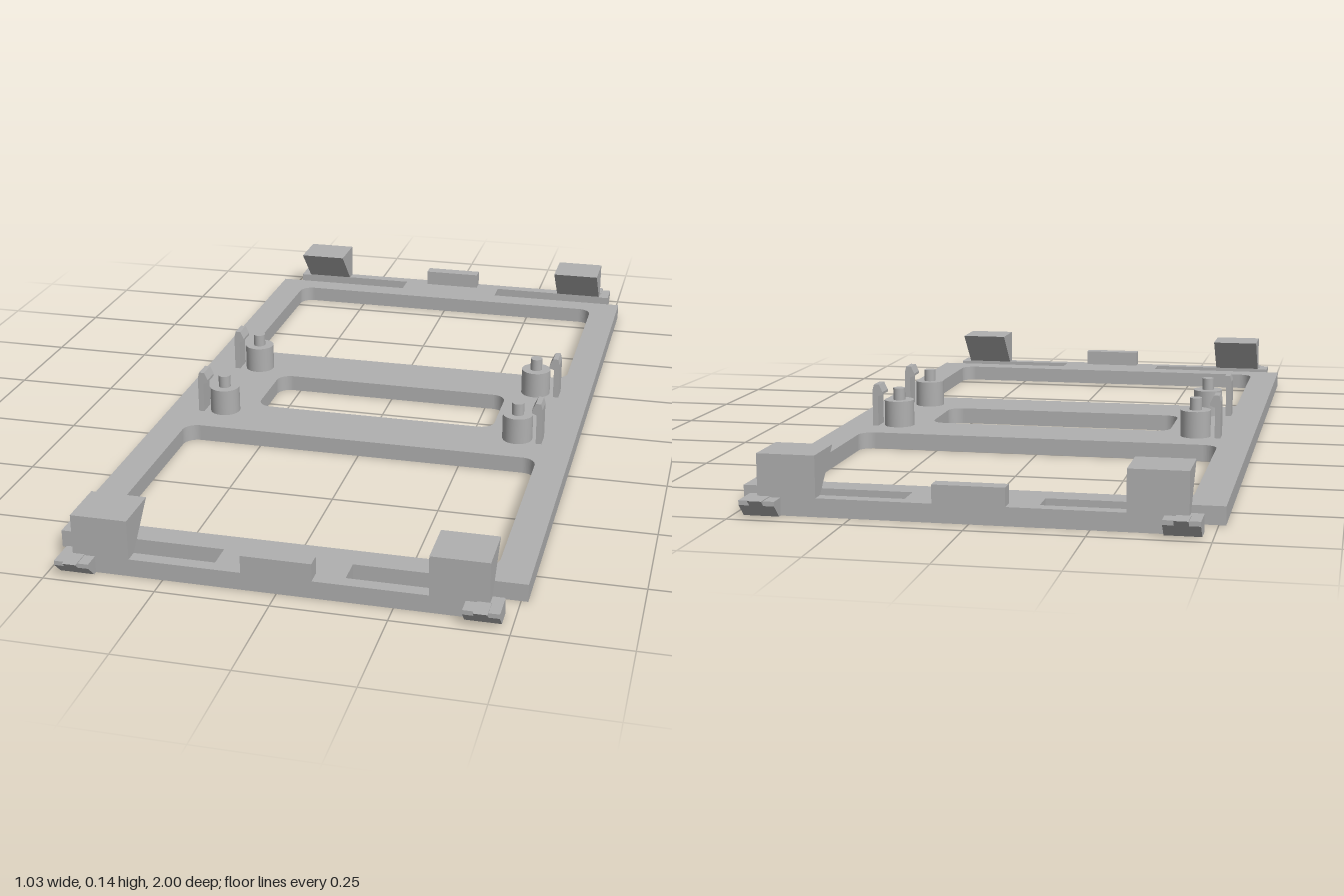
import * as THREE from 'three';

const T = 0.04; // plate thickness

// Extrude a closed outline, centred on its depth
function extrude(points, depth) {
  const shape = new THREE.Shape(points.map(([a, b]) => new THREE.Vector2(a, b)));
  return new THREE.ExtrudeGeometry(shape, { depth, bevelEnabled: false }).translate(0, 0, -depth / 2);
}

// Profile given as (z, y) and swept along x
const sweepX = (points, width) => extrude(points, width).rotateY(-Math.PI / 2);

function roundedHole(x0, x1, y0, y1, r) {
  const p = new THREE.Path();
  p.moveTo(x0 + r, y0);
  p.lineTo(x1 - r, y0);
  p.absarc(x1 - r, y0 + r, r, -Math.PI / 2, 0);
  p.lineTo(x1, y1 - r);
  p.absarc(x1 - r, y1 - r, r, 0, Math.PI / 2);
  p.lineTo(x0 + r, y1);
  p.absarc(x0 + r, y1 - r, r, Math.PI / 2, Math.PI);
  p.lineTo(x0, y0 + r);
  p.absarc(x0 + r, y0 + r, r, Math.PI, Math.PI * 1.5);
  return p;
}

export function createModel() {
  const model = new THREE.Group();
  model.name = 'mountingFrame';
  const grey = new THREE.MeshStandardMaterial({ color: 0xb0b0b0 });
  grey.name = 'grey plastic';

  const add = (parent, name, geometry, x = 0, y = 0, z = 0) => {
    const mesh = new THREE.Mesh(geometry, grey);
    mesh.name = name;
    mesh.position.set(x, y, z);
    parent.add(mesh);
    return mesh;
  };

  // Flat frame with a T-shaped end at each side whose arms are free at the tips
  const quarter = [[0.515, 0.86], [0.142, 0.86], [0.142, 0.92], [0.45, 0.92], [0.45, 0.95]];
  const flip = (sx, sy) => quarter.map(([x, y]) => [x * sx, y * sy]);
  const outline = [
    ...flip(1, 1), ...flip(-1, 1).reverse(),
    ...flip(-1, -1), ...flip(1, -1).reverse(),
  ].map(([x, y]) => new THREE.Vector2(x, y));
  const plate = new THREE.Shape(outline);
  plate.holes.push(
    roundedHole(-0.44, 0.44, 0.257, 0.8, 0.035),
    roundedHole(-0.44, 0.44, -0.8, -0.257, 0.035),
    roundedHole(-0.305, 0.305, -0.104, 0.104, 0.035),
  );
  const plateGeo = new THREE.ExtrudeGeometry(plate, { depth: T, bevelEnabled: false, curveSegments: 8 });
  add(model, 'framePlate', plateGeo.rotateX(-Math.PI / 2));

  // End details, built for the front and turned round for the back
  const hookGeo = sweepX([[0.92, T], [0.95, T], [0.95, 0.13], [0.833, 0.13]], 0.126);
  const footGeo = sweepX([[0.92, 0], [0.96, 0], [0.988, 0.028], [0.988, T - 0.002], [0.92, T - 0.002]], 0.077);
  const noseGeo = sweepX([[0.95, 0], [0.96, 0], [1, T], [0.95, T]], 0.03);
  for (const end of ['front', 'back']) {
    const group = new THREE.Group();
    group.name = end + 'End';
    if (end === 'back') group.rotation.y = Math.PI;
    model.add(group);
    add(group, 'centreTab', new THREE.BoxGeometry(0.154, T, 0.035), 0, T * 1.5, 0.9325);
    for (const s of [-1, 1]) {
      add(group, 'wedgeHook', hookGeo, s * 0.387);
      add(group, 'latchFoot', footGeo, s * 0.4385);
      add(group, 'latchNose', noseGeo, s * 0.4385);
    }
  }

  // Four standoffs, each with a locating pin and a snap clip outside it
  const standoffGeo = new THREE.CylinderGeometry(0.037, 0.037, 0.065, 32);
  const pinGeo = new THREE.CylinderGeometry(0.015, 0.015, 0.03, 24);
  const clipGeo = extrude([
    [0.424, T], [0.438, T], [0.438, 0.13], [0.434, 0.145], [0.421, 0.145], [0.412, 0.126], [0.412, 0.12], [0.424, 0.115],
  ], 0.047);
  for (const sx of [-1, 1]) {
    for (const sz of [-1, 1]) {
      add(model, 'standoff', standoffGeo, sx * 0.375, T + 0.0325, sz * 0.148);
      add(model, 'locatingPin', pinGeo, sx * 0.375, 0.12, sz * 0.148);
      const clip = add(model, 'snapClip', clipGeo, 0, 0, sz * 0.148);
      if (sx < 0) clip.rotation.y = Math.PI;
    }
  }
  return model;
}
